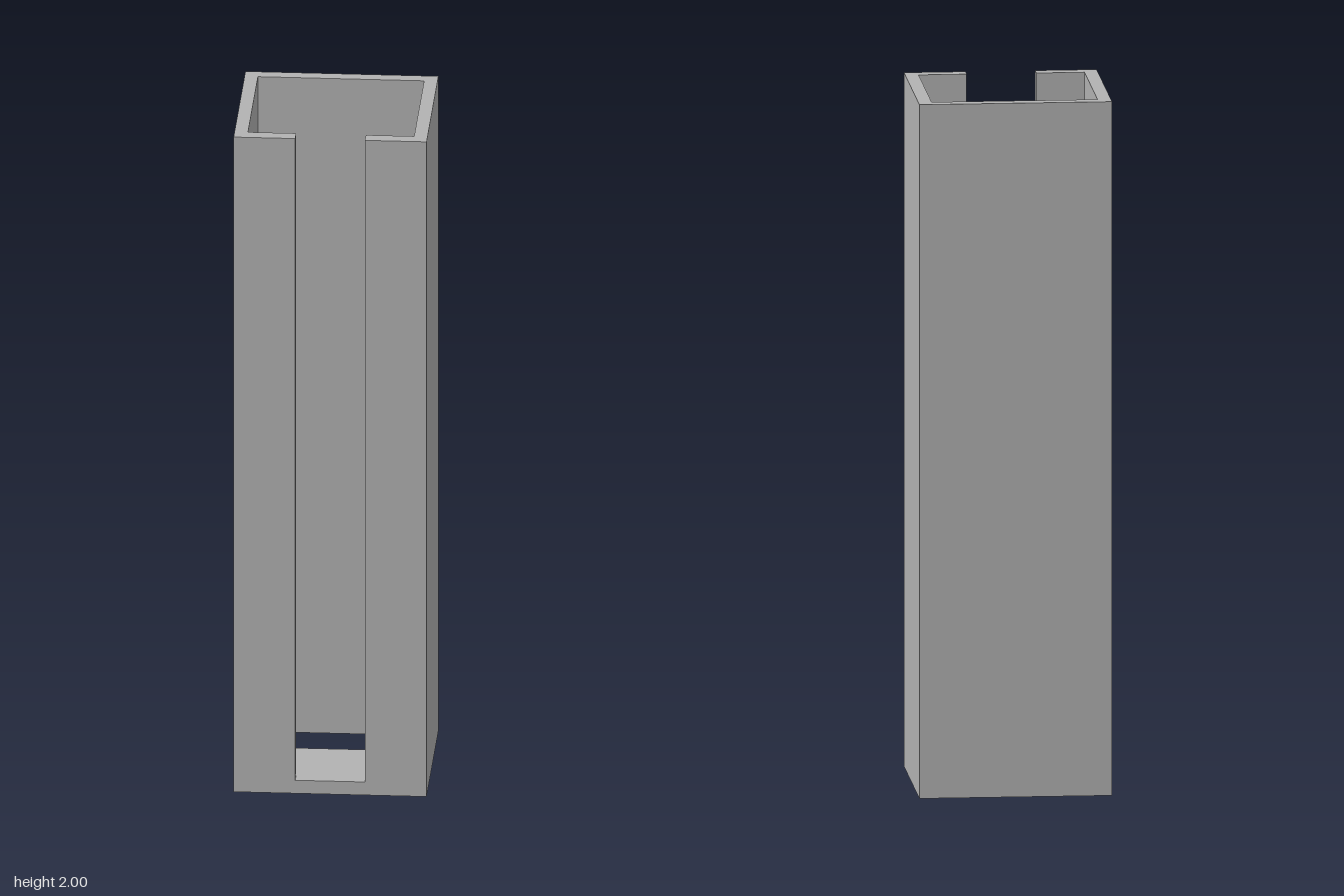
import * as THREE from 'three';

export function createModel() {
  const group = new THREE.Group();
  const grey = new THREE.MeshStandardMaterial({ color: 0xb2b2b2 });
  grey.name = 'grey';

  const X = 0.274, Z = 0.25;           // outer half width and depth
  const IX = 0.236, IZ = 0.212;        // inner half width and depth
  const SLOT = 0.099, FLOOR = 0.04, HEIGHT = 2;
  const LEDGE = 0.005;                 // back edge of the partial floor

  const points = (list) => list.map(([x, z]) => new THREE.Vector2(x, -z));

  // Extrude a plan outline (x, z) upward from y
  function addPart(name, shape, y, height) {
    const geometry = new THREE.ExtrudeGeometry(shape, { depth: height, bevelEnabled: false });
    geometry.rotateX(-Math.PI / 2);
    geometry.translate(0, y, 0);
    const mesh = new THREE.Mesh(geometry, grey);
    mesh.name = name;
    group.add(mesh);
  }

  // Base: front floor with an opening towards the back wall
  const base = new THREE.Shape(points([[-X, Z], [X, Z], [X, -Z], [-X, -Z]]));
  base.holes.push(new THREE.Path(points([[-IX, LEDGE], [-IX, -IZ], [IX, -IZ], [IX, LEDGE]])));
  addPart('base', base, 0, FLOOR);

  // Walls: C-shaped channel with a front slot open at the top
  const walls = new THREE.Shape(points([
    [SLOT, Z], [X, Z], [X, -Z], [-X, -Z], [-X, Z], [-SLOT, Z],
    [-SLOT, IZ - 0.002], [-IX, IZ - 0.002], [-IX, -IZ], [IX, -IZ], [IX, IZ - 0.002], [SLOT, IZ - 0.002],
  ]));
  addPart('walls', walls, FLOOR, HEIGHT - FLOOR);

  return group;
}
